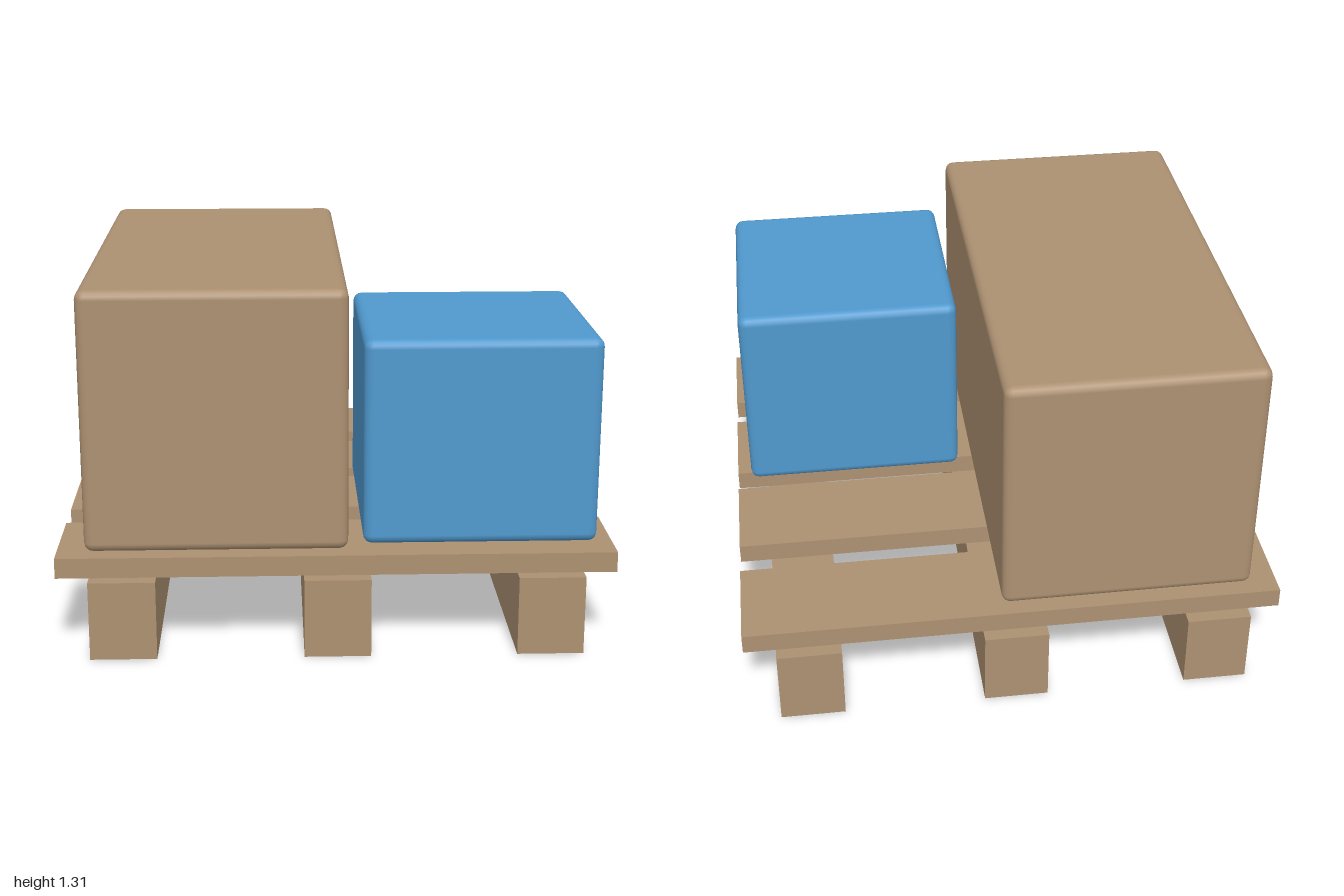
import * as THREE from 'three';
import { RoundedBoxGeometry } from 'three/addons/geometries/RoundedBoxGeometry.js';

export function createModel() {
  const model = new THREE.Group();
  model.name = 'loadedPallet';

  const wood = new THREE.MeshStandardMaterial({ color: 0xad9172 });
  wood.name = 'tan';
  const blue = new THREE.MeshStandardMaterial({ color: 0x5099ce });
  blue.name = 'blue';

  // Adds a mesh to a parent, centred in x and z and resting on height y
  function place(parent, name, geometry, material, x, y, z) {
    geometry.computeBoundingBox();
    const mesh = new THREE.Mesh(geometry, material);
    mesh.name = name;
    mesh.position.set(x, y - geometry.boundingBox.min.y, z);
    parent.add(mesh);
  }

  const beamHeight = 0.29;
  const deckHeight = 0.364;

  // Pallet: three runners carrying four deck boards
  const pallet = new THREE.Group();
  pallet.name = 'pallet';
  model.add(pallet);
  for (const x of [-0.762, 0, 0.762]) {
    place(pallet, 'runner', new THREE.BoxGeometry(0.238, beamHeight, 2), wood, x, 0, 0);
  }
  for (const z of [-0.762, -0.24, 0.24, 0.762]) {
    place(pallet, 'deckBoard', new THREE.BoxGeometry(2, deckHeight - beamHeight, 0.376), wood, 0, beamHeight, z);
  }

  // Cargo: two boxes with softened edges
  place(model, 'largeBox', new RoundedBoxGeometry(0.943, 0.948, 1.8, 2, 0.033), wood, -0.43, deckHeight, 0);
  place(model, 'smallBox', new RoundedBoxGeometry(0.848, 0.756, 0.85, 2, 0.033), blue, 0.521, deckHeight, 0.425);

  return model;
}
